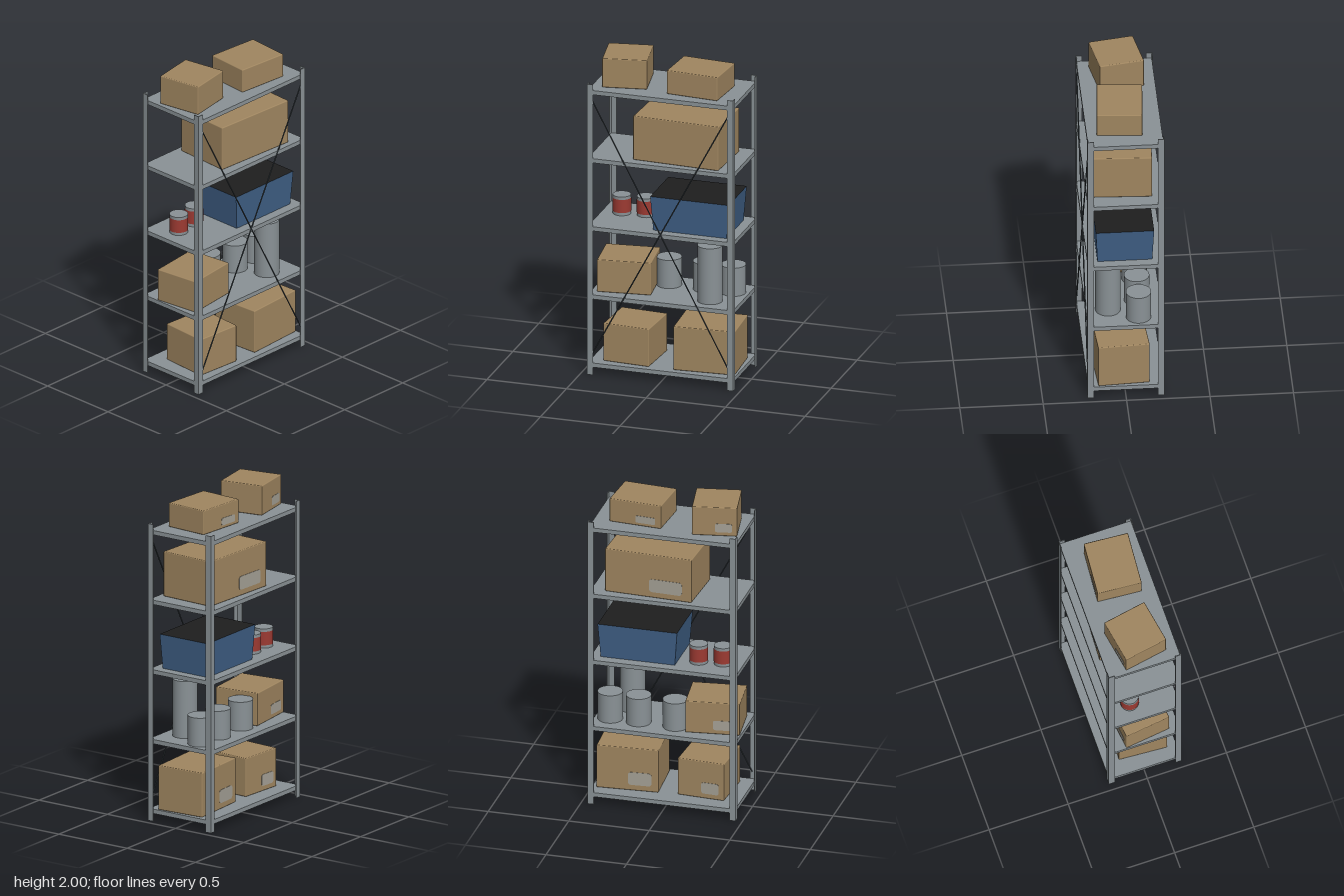
import * as THREE from 'three';
import { RoundedBoxGeometry } from 'three/addons/geometries/RoundedBoxGeometry.js';

const mat = (name, color) => {
  const m = new THREE.MeshStandardMaterial({ color });
  m.name = name;
  return m;
};

export function createModel() {
  const root = new THREE.Group();
  root.name = 'storageShelf';
  const steel = mat('galvanised steel', 0x8a9296);
  const braceMat = mat('dark steel', 0x3a4247);
  const cardboard = mat('cardboard', 0xa08660);
  const labelMat = mat('paper label', 0xa5a196);
  const binMat = mat('blue plastic', 0x3f5f85);
  const darkMat = mat('bin interior', 0x1e1e1e);
  const redMat = mat('red can band', 0x9c3a32);

  const add = (name, geometry, material, x = 0, y = 0, z = 0, parent = root) => {
    const m = new THREE.Mesh(geometry, material);
    m.name = name;
    m.position.set(x, y, z);
    parent.add(m);
    return m;
  };

  // L-section corner posts
  const W = 0.46, D = 0.23, POST_H = 1.853, L = 0.038, T = 0.005;
  for (const sx of [-1, 1]) for (const sz of [-1, 1]) {
    const s = new THREE.Shape();
    const pts = [[0, 0], [L, 0], [L, T], [T, T], [T, L], [0, L]]
      .map(([a, b]) => new THREE.Vector2(sx * (W - a), -sz * (D - b)));
    s.setFromPoints(pts);
    const g = new THREE.ExtrudeGeometry(s, { depth: POST_H, bevelEnabled: false });
    g.rotateX(-Math.PI / 2);
    add('cornerPost', g, steel);
  }

  // Five shelves
  const shelfTop = [0, 1, 2, 3, 4].map(i => 0.075 + i * 0.435);
  for (const y of shelfTop)
    add('shelf', new THREE.BoxGeometry(0.912, 0.027, 0.452), steel, 0, y - 0.0135, 0);

  // Crossed braces on the front
  for (const s of [-1, 1]) {
    const a = new THREE.Vector3(-s * 0.435, 0.12, 0.226);
    const b = new THREE.Vector3(s * 0.435, 1.765, 0.226);
    const brace = add('crossBrace', new THREE.CylinderGeometry(0.004, 0.004, a.distanceTo(b), 8), braceMat);
    brace.position.addVectors(a, b).multiplyScalar(0.5);
    brace.quaternion.setFromUnitVectors(new THREE.Vector3(0, 1, 0), b.sub(a).normalize());
  }

  // Thin rounded label plate
  const labelGeometry = (w, h) => {
    const r = h * 0.25, x = w / 2, y = h / 2;
    const s = new THREE.Shape();
    s.moveTo(-x + r, -y);
    s.lineTo(x - r, -y).quadraticCurveTo(x, -y, x, -y + r);
    s.lineTo(x, y - r).quadraticCurveTo(x, y, x - r, y);
    s.lineTo(-x + r, y).quadraticCurveTo(-x, y, -x, y - r);
    s.lineTo(-x, -y + r).quadraticCurveTo(-x, -y, -x + r, -y);
    return new THREE.ExtrudeGeometry(s, { depth: 0.003, bevelEnabled: false, curveSegments: 5 });
  };

  // Cardboard boxes: shelf, x, z, width, height, depth, turn
  const boxes = [
    [0, -0.222, 0.028, 0.293, 0.24, 0.3, -0.063],
    [0, 0.249, 0.0215, 0.38, 0.277, 0.31, 0.06],
    [1, -0.272, 0.006, 0.33, 0.205, 0.285, 0.12],
    [3, 0.09, 0.0025, 0.545, 0.28, 0.357, -0.047],
    [4, -0.278, 0, 0.272, 0.185, 0.273, 0.173],
    [4, 0.1855, 0.018, 0.328, 0.15, 0.273, -0.076],
  ];
  for (const [i, x, z, w, h, d, turn] of boxes) {
    const g = new THREE.Group();
    g.name = 'cardboardBox';
    g.position.set(x, shelfTop[i], z);
    g.rotation.y = turn;
    root.add(g);
    add('carton', new RoundedBoxGeometry(w, h, d, 2, 0.006), cardboard, 0, h / 2, 0, g);
    const label = add('label', labelGeometry(w * 0.38, h * 0.3), labelMat, -w * 0.2, h * 0.28, -d / 2 + 0.001, g);
    label.rotation.y = Math.PI;
  }

  // Tapered storage bin with a dark top
  const binH = 0.216;
  const binGeo = new THREE.BoxGeometry(0.493, binH, 0.349);
  const p = binGeo.attributes.position;
  for (let i = 0; i < p.count; i++)
    if (p.getY(i) < 0) {
      p.setX(i, p.getX(i) * 0.933);
      p.setZ(i, p.getZ(i) * 0.94);
    }
  binGeo.computeVertexNormals();
  add('storageBin', binGeo, [binMat, binMat, darkMat, binMat, binMat, binMat],
    0.167, shelfTop[2] + binH / 2, 0.0025);

  // Small cans with a red band
  for (const [x, z] of [[-0.333, -0.055], [-0.186, -0.07]]) {
    const g = new THREE.Group();
    g.name = 'can';
    g.position.set(x, shelfTop[2], z);
    root.add(g);
    add('canBody', new THREE.CylinderGeometry(0.055, 0.055, 0.12, 32), steel, 0, 0.06, 0, g);
    add('canBand', new THREE.CylinderGeometry(0.0565, 0.0565, 0.084, 32, 1, true), redMat, 0, 0.06, 0, g);
  }

  // Plain canisters: x, z, height
  for (const [x, z, h] of [[0.27, 0.094, 0.356], [0.36, -0.082, 0.18], [0.183, -0.085, 0.18], [-0.046, -0.088, 0.18]])
    add('canister', new THREE.CylinderGeometry(0.076, 0.076, h, 32), steel, x, shelfTop[1] + h / 2, z);

  return root;
}
